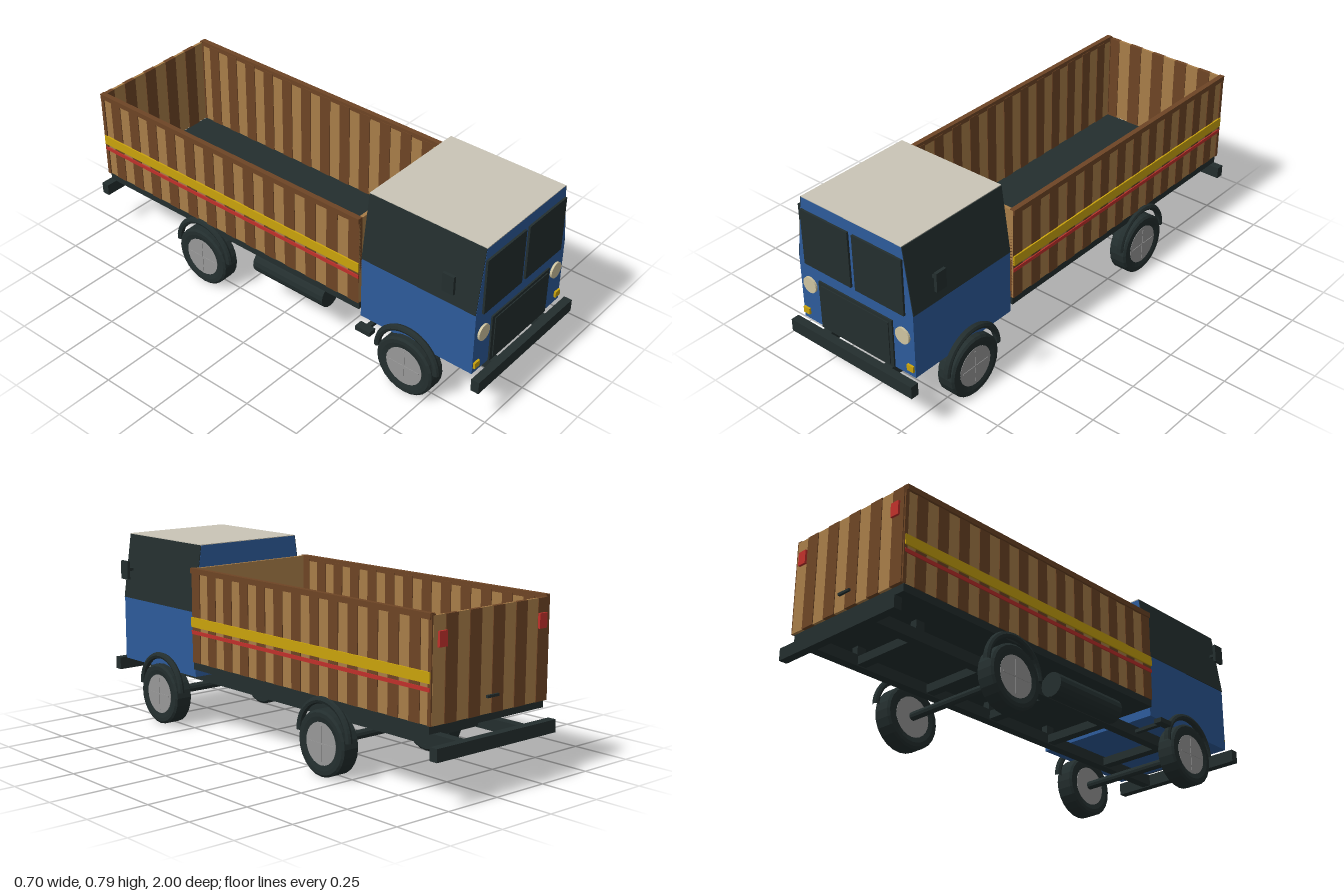
import * as THREE from 'three';

const mat = (name, color) => {
  const m = new THREE.MeshStandardMaterial({ color, flatShading: true });
  m.name = name;
  return m;
};

export function createModel() {
  const blue = mat('cab blue', 0x2d5b9b);
  const dark = mat('dark trim', 0x232e2e);
  const cream = mat('roof cream', 0xcac5b7);
  const lamp = mat('headlight cream', 0xcfc4a0);
  const tan = mat('light timber', 0xa87d48);
  const brown = mat('dark timber', 0x6e4525);
  const yellow = mat('yellow', 0xcaa30c);
  const red = mat('red', 0xc0302b);
  const grey = mat('hub grey', 0x989898);

  const truck = new THREE.Group();
  truck.name = 'truck';

  const add = (name, geo, material, parent = truck) => {
    const m = new THREE.Mesh(geo, material);
    m.name = name;
    parent.add(m);
    return m;
  };
  // Box given by its extents on each axis
  const box = (name, material, x0, x1, y0, y1, z0, z1, parent = truck) => {
    const m = add(name, new THREE.BoxGeometry(Math.abs(x1 - x0), y1 - y0, z1 - z0), material, parent);
    m.position.set((x0 + x1) / 2, (y0 + y1) / 2, (z0 + z1) / 2);
    return m;
  };
  // Front outline pushed along z
  const prism = (name, material, pts, z0, z1) => {
    const shape = new THREE.Shape(pts.map(([x, y]) => new THREE.Vector2(x, y)));
    const geo = new THREE.ExtrudeGeometry(shape, { depth: z1 - z0, bevelEnabled: false });
    geo.translate(0, 0, z0);
    return add(name, geo, material);
  };
  const sides = [1, -1];

  // Cab
  prism('cab', blue, [[-0.29, 0.24], [0.29, 0.24], [0.29, 0.515], [0.25, 0.79],
    [-0.25, 0.79], [-0.29, 0.515]], 0.43, 0.95);
  box('roof', cream, -0.25, 0.25, 0.789, 0.793, 0.43, 0.95);
  box('grille', dark, -0.188, 0.188, 0.24, 0.45, 0.95, 0.957);
  box('grillePanel', dark, -0.172, 0.172, 0.252, 0.437, 0.957, 0.961);
  for (const s of sides) {
    prism('sideWindow', dark, [[s * 0.288, 0.515], [s * 0.293, 0.515], [s * 0.253, 0.79],
      [s * 0.248, 0.79]], 0.431, 0.949);
    box('windscreen', dark, s * 0.011, s * 0.253, 0.503, 0.741, 0.95, 0.959);
    const light = add('headlight', new THREE.CylinderGeometry(0.034, 0.034, 0.009, 24), lamp);
    light.rotation.x = Math.PI / 2;
    light.position.set(s * 0.238, 0.41, 0.9545);
    box('indicator', yellow, s * 0.254, s * 0.285, 0.265, 0.291, 0.95, 0.959);
    box('mirrorArm', dark, s * 0.306, s * 0.327, 0.643, 0.655, 0.852, 0.864);
    box('mirror', dark, s * 0.336, s * 0.349, 0.609, 0.688, 0.835, 0.885);
  }

  // Chassis
  box('frontBumper', dark, -0.313, 0.313, 0.187, 0.24, 0.965, 1);
  box('rearBumper', dark, -0.313, 0.313, 0.187, 0.237, -1, -0.965);
  for (const s of sides) box('chassisRail', dark, s * 0.14, s * 0.18, 0.19, 0.236, -0.97, 0.97);
  for (const z of [-0.75, -0.4, -0.05, 0.3, 0.66])
    box('crossMember', dark, -0.15, 0.15, 0.195, 0.23, z - 0.02, z + 0.02);
  for (const z of [-0.75, -0.05, 0.3]) for (const s of sides)
    box('bedMount', dark, s * 0.145, s * 0.175, 0.236, 0.276, z - 0.02, z + 0.02);
  const tank = add('fuelTank', new THREE.CylinderGeometry(0.051, 0.051, 0.365, 16), dark);
  tank.rotation.x = Math.PI / 2;
  tank.position.set(-0.245, 0.21, 0.057);
  box('step', dark, -0.336, -0.3, 0.204, 0.224, 0.44, 0.51);
  box('stepBracket', dark, -0.3, -0.16, 0.206, 0.22, 0.465, 0.485);

  // Wheels, arches and axles
  const tyreProfile = [[0.082, -0.036], [0.105, -0.041], [0.121, -0.041], [0.13, -0.033],
    [0.13, 0.034], [0.121, 0.041], [0.105, 0.041], [0.082, 0.036]]
    .map(([r, h]) => new THREE.Vector2(r, h));
  for (const z of [0.662, -0.397]) {
    const axle = add('axle', new THREE.CylinderGeometry(0.018, 0.018, 0.5, 10), dark);
    axle.rotation.z = Math.PI / 2;
    axle.position.set(0, 0.132, z);
    for (const s of sides) {
      const wheel = new THREE.Group();
      wheel.name = 'wheel';
      wheel.position.set(s * 0.278, 0.13, z);
      wheel.rotation.z = -s * Math.PI / 2;
      truck.add(wheel);
      add('tyre', new THREE.LatheGeometry(tyreProfile, 24), dark, wheel);
      add('hub', new THREE.CylinderGeometry(0.084, 0.084, 0.076, 24), grey, wheel);
      box('hubSpoke', grey, -0.07, 0.07, 0.037, 0.04, -0.003, 0.003, wheel);
      box('hubSpoke', grey, -0.003, 0.003, 0.037, 0.04, -0.07, 0.07, wheel);
      const arch = add('wheelArch', new THREE.TorusGeometry(0.139, 0.014, 8, 24, Math.PI), dark);
      arch.rotation.y = Math.PI / 2;
      arch.position.set(s * 0.301, 0.157, z);
    }
  }

  // Cargo bed
  const front = 0.428, back = -0.955;
  box('bedFloor', dark, -0.3, 0.3, 0.275, 0.306, -0.948, front);
  box('bulkhead', tan, -0.303, 0.303, 0.306, 0.7, 0.414, front);
  const count = 26, step = (front - back) / count;
  for (const s of sides) {
    for (let i = 0; i < count; i++) {
      const light = i % 2 === 1;
      const z1 = front - i * step;
      box('sidePlank', light ? tan : brown, s * (light ? 0.29 : 0.287), s * (light ? 0.301 : 0.304),
        0.306, 0.69, z1 - step, z1);
    }
    box('topRail', brown, s * 0.289, s * 0.311, 0.681, 0.703, back, front);
    box('cornerPost', brown, s * 0.287, s * 0.306, 0.306, 0.7, back - 0.004, back + 0.012);
    box('yellowStripe', yellow, s * 0.303, s * 0.31, 0.457, 0.498, back, front);
    box('redStripe', red, s * 0.303, s * 0.308, 0.427, 0.442, back, front);
    box('tailLight', red, s * 0.24, s * 0.28, 0.583, 0.64, -0.972, -0.962);
  }

  // Tailgate
  const gateStep = 0.6 / 10;
  for (let i = 0; i < 10; i++) {
    const light = i % 2 === 0, x1 = 0.3 - i * gateStep;
    box('gatePlank', light ? tan : brown, x1 - gateStep, x1, 0.306, 0.695,
      light ? -0.96 : -0.963, light ? -0.949 : -0.946);
  }
  box('gateHandle', dark, -0.03, 0.03, 0.366, 0.376, -0.972, -0.962);

  return truck;
}
